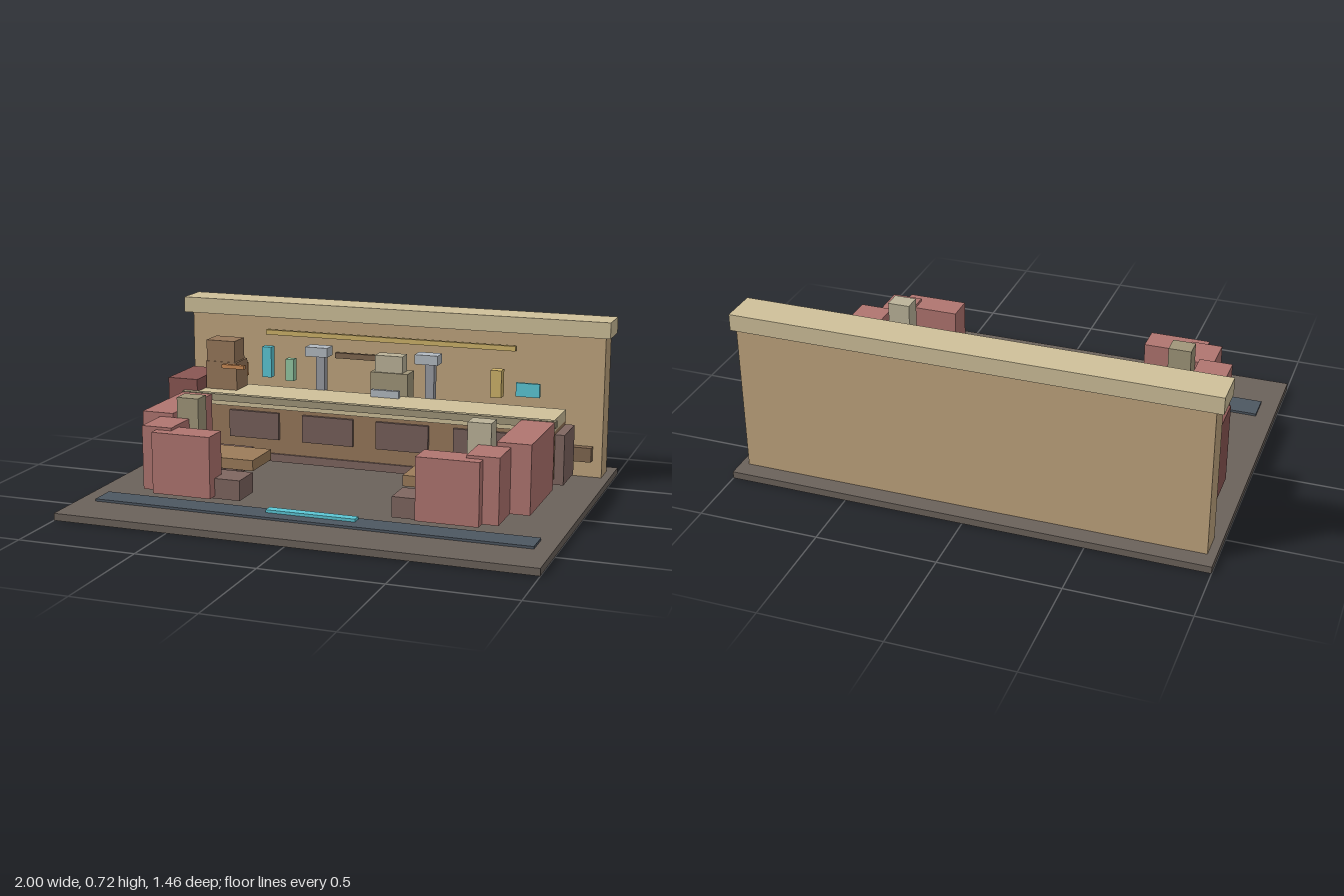
import * as THREE from 'three';

const C = {
  floor: 0x6b625b, wall: 0xc0a57e, cream: 0xcfc09a, blue: 0x4d5761, cyan: 0x5cc8d6,
  red: 0xb07570, darkRed: 0x8a5653, purple: 0x7f6660, brown: 0x97785b, panel: 0x77605a,
  table: 0x9c7c5a, olive: 0xa0967a, stone: 0xbcb49a, steel: 0x9a9ca3, steelLight: 0xb4bbc2,
  gold: 0xcfb36a, green: 0x95c9a4, orange: 0xc98a55, rail: 0x806750
};

export function createModel() {
  const root = new THREE.Group();
  const materials = {};

  // Box given by its extents on each axis
  function box(name, color, [x0, x1], [y0, y1], [z0, z1]) {
    materials[color] ??= new THREE.MeshStandardMaterial({ color: C[color], flatShading: true });
    const mesh = new THREE.Mesh(new THREE.BoxGeometry(x1 - x0, y1 - y0, z1 - z0), materials[color]);
    mesh.position.set((x0 + x1) / 2, (y0 + y1) / 2, (z0 + z1) / 2);
    mesh.name = name;
    root.add(mesh);
  }
  // The same box on both sides, x measured outward from the centre
  function pair(name, color, [x0, x1], y, z) {
    box(name + 'Left', color, [x0, x1], y, z);
    box(name + 'Right', color, [-x1, -x0], y, z);
  }

  // Room shell
  box('floor', 'floor', [-1, 1], [0, 0.03], [-0.73, 0.73]);
  box('backWall', 'wall', [-0.965, 0.965], [0.03, 0.65], [-0.655, -0.54]);
  box('cornice', 'cream', [-0.993, 0.99], [0.65, 0.72], [-0.66, -0.503]);
  box('entryStrip', 'blue', [-0.925, 0.925], [0.03, 0.04], [0.405, 0.52]);
  box('entryLight', 'cyan', [-0.19, 0.19], [0.04, 0.052], [0.42, 0.46]);
  box('sideLight', 'cyan', [-0.74, -0.7], [0.04, 0.052], [-0.5, -0.27]);

  // Wall rails and shelves
  box('baseRail', 'rail', [-0.925, 0.925], [0.105, 0.168], [-0.535, -0.5]);
  box('lowShelf', 'rail', [-0.5, 0.5], [0.22, 0.245], [-0.517, -0.5]);
  box('middleShelf', 'rail', [-0.5, 0.5], [0.26, 0.285], [-0.517, -0.5]);
  box('shortShelf', 'rail', [-0.25, 0.08], [0.483, 0.508], [-0.517, -0.5]);
  box('upperRail', 'gold', [-0.585, 0.58], [0.57, 0.592], [-0.517, -0.5]);

  // Counter
  box('counterBody', 'brown', [-0.785, 0.83], [0.1, 0.305], [-0.4, -0.2]);
  box('counterKick', 'purple', [-0.75, 0.75], [0.065, 0.1], [-0.4, -0.19]);
  box('counterTop', 'cream', [-0.785, 0.83], [0.305, 0.355], [-0.405, -0.18]);
  box('counterTrim', 'olive', [-0.845, 0.845], [0.33, 0.36], [-0.18, -0.15]);
  for (const x of [0.17, 0.515])
    pair('counterPanel', 'panel', [x - 0.117, x + 0.117], [0.165, 0.285], [-0.207, -0.185]);
  box('endCabinet', 'purple', [0.7, 0.87], [0.075, 0.29], [-0.405, -0.212]);
  box('backCabinet', 'purple', [-0.785, -0.59], [0.07, 0.3], [-0.42, -0.21]);
  box('cornerBlock', 'darkRed', [-0.925, -0.785], [0.07, 0.41], [-0.445, -0.182]);

  // Twin dispensers
  for (const x of [-0.283, 0.225]) {
    box('dispenserPost', 'steel', [x - 0.02, x + 0.02], [0.35, 0.517], [-0.437, -0.4]);
    box('dispenserHead', 'steelLight', [x - 0.052, x + 0.052], [0.515, 0.557], [-0.415, -0.348]);
  }

  // Till
  box('tillBase', 'olive', [-0.047, 0.125], [0.21, 0.455], [-0.49, -0.4]);
  box('tillScreen', 'stone', [-0.028, 0.098], [0.445, 0.53], [-0.475, -0.408]);
  box('tillDrawer', 'steelLight', [-0.028, 0.1], [0.355, 0.387], [-0.37, -0.35]);

  // Brewing machine
  box('machineBase', 'brown', [-0.778, -0.63], [0.355, 0.48], [-0.385, -0.265]);
  box('machineTop', 'brown', [-0.775, -0.64], [0.48, 0.575], [-0.375, -0.268]);
  box('hangingTag', 'orange', [-0.665, -0.56], [0.47, 0.487], [-0.205, -0.183]);

  // Bottles and small wall signs
  box('tallBottle', 'cyan', [-0.59, -0.545], [0.38, 0.52], [-0.5, -0.462]);
  box('greenBottle', 'green', [-0.477, -0.438], [0.37, 0.47], [-0.5, -0.465]);
  box('goldBottle', 'gold', [0.485, 0.533], [0.37, 0.49], [-0.5, -0.453]);
  box('rightSign', 'cyan', [0.595, 0.7], [0.38, 0.44], [-0.48, -0.465]);
  box('leftSign', 'orange', [-0.735, -0.665], [0.38, 0.44], [-0.48, -0.465]);

  // Mirrored booths
  pair('boothBack', 'red', [0.7, 0.84], [0.07, 0.357], [-0.15, 0.24]);
  pair('boothCorner', 'red', [0.625, 0.758], [0.07, 0.34], [0.24, 0.41]);
  pair('boothEnd', 'red', [0.435, 0.692], [0.07, 0.328], [0.34, 0.457]);
  pair('boothSeat', 'purple', [0.49, 0.7], [0.06, 0.145], [-0.118, 0.25]);
  pair('boothFrontSeat', 'purple', [0.325, 0.61], [0.06, 0.145], [0.272, 0.41]);
  pair('tableTop', 'table', [0.325, 0.58], [0.15, 0.195], [0.075, 0.272]);
  pair('tableLeg', 'panel', [0.428, 0.48], [0.045, 0.15], [0.155, 0.205]);
  box('leftPost', 'stone', [0.58, 0.677], [0.145, 0.428], [0.16, 0.24]);
  box('rightPost', 'olive', [-0.68, -0.583], [0.145, 0.428], [0.16, 0.24]);

  return root;
}
